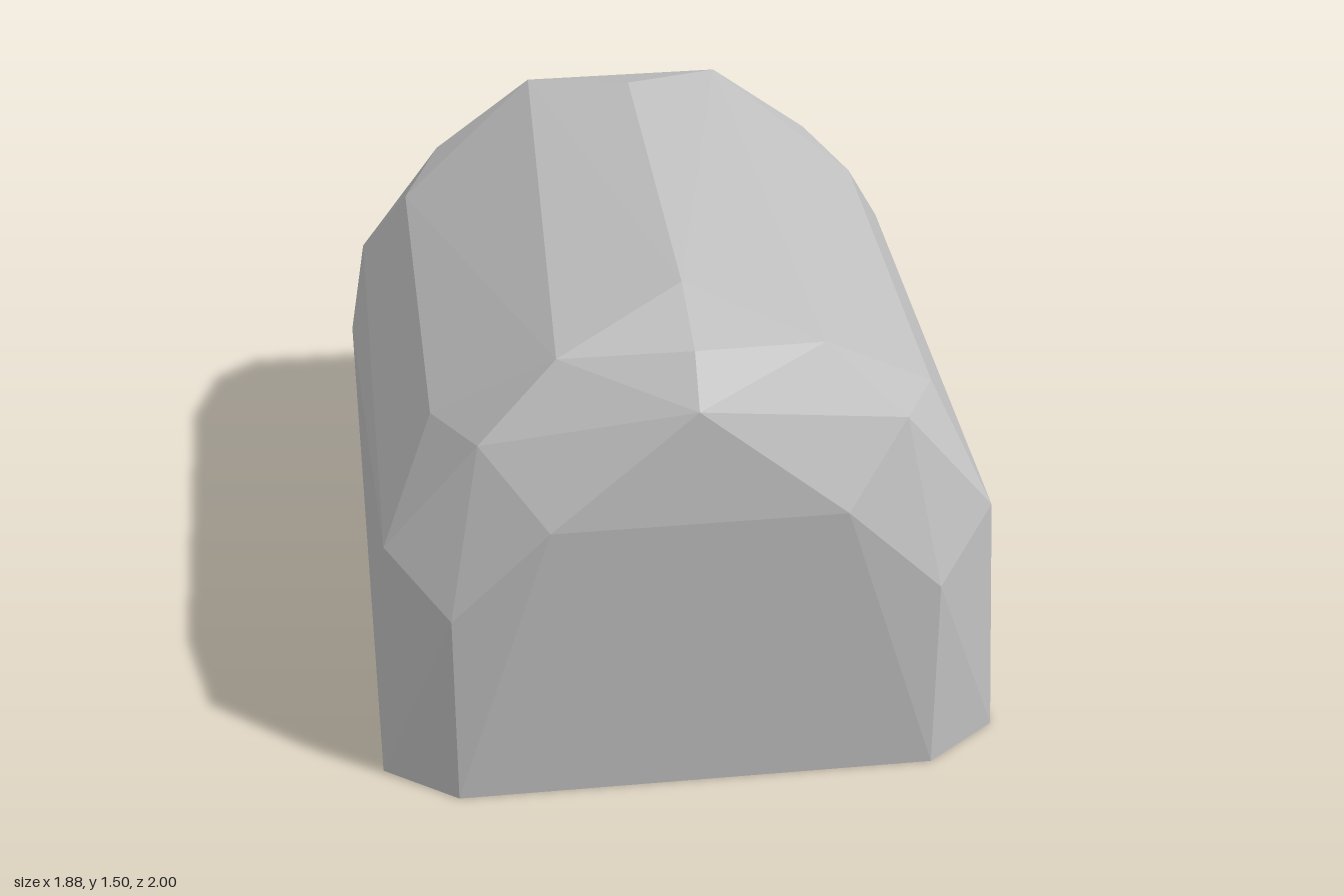
import * as THREE from 'three';
import { ConvexGeometry } from 'three/addons/geometries/ConvexGeometry.js';

// Corner points on the +x half; each is mirrored to -x.
const sidePoints = [
  // front face
  [0.72, 0, 0.97], [0.72, 0.65, 0.965], [0.43, 0.96, 1.0],
  // bevelled rim around the front
  [0.94, 0, 0.81], [0.9, 0.81, 0.79], [0.62, 1.18, 0.855], [0.385, 1.405, 0.78],
  // shoulder facets
  [0.74, 1.14, 0.6], [0.74, 1.12, -0.77], [0.94, 0.6, -0.82],
  // flat back
  [0.91, 0, -1], [0.885, 0.82, -0.995], [0.62, 1.18, -0.99], [0.31, 1.415, -0.985],
];

// Points on the centre line: brow, rim and roof ridge.
const centrePoints = [[0, 1.31, 0.96], [0, 1.445, 0.85], [0, 1.505, 0.56], [0, 1.49, -0.77]];

export function createModel() {
  const group = new THREE.Group();
  group.name = 'facetedBlock';

  const grey = new THREE.MeshStandardMaterial({ color: 0xc0c0c0 });
  grey.name = 'stone grey';
  grey.flatShading = true;

  const points = centrePoints.map((p) => new THREE.Vector3(...p));
  for (const [x, y, z] of sidePoints) {
    for (const s of [1, -1]) points.push(new THREE.Vector3(s * x, y, z));
  }

  // Arched solid spanning all the corner points
  const body = new THREE.Mesh(new ConvexGeometry(points), grey);
  body.name = 'archedBody';
  group.add(body);
  return group;
}
